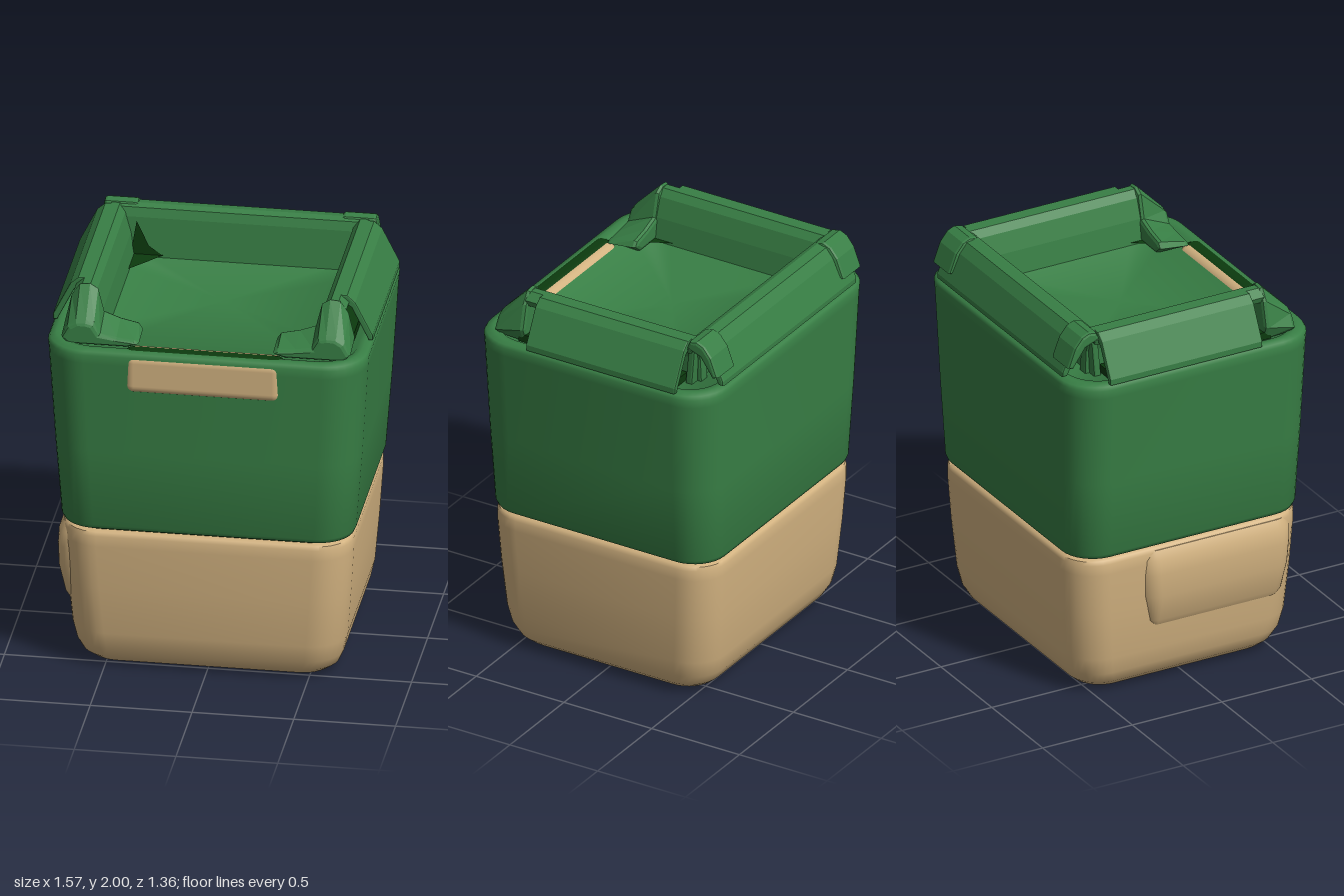
import * as THREE from 'three';
import { toCreasedNormals } from 'three/addons/utils/BufferGeometryUtils.js';
import { RoundedBoxGeometry } from 'three/addons/geometries/RoundedBoxGeometry.js';

const green = new THREE.MeshStandardMaterial({ color: 0x387f45 });
green.name = 'green';
const tan = new THREE.MeshStandardMaterial({ color: 0xd2b280 });
tan.name = 'tan';
const dark = new THREE.MeshStandardMaterial({ color: 0x0c3a0e, side: THREE.DoubleSide });
dark.name = 'dark green';

// Stacked rounded rectangles; each ring is [y, halfX, halfZ, cornerRadius], capped at both ends
function loft(rings, topCentre, cx = 0, cz = 0) {
  const seg = 8, n = 4 * (seg + 1), pos = [], idx = [];
  for (const [y, hx, hz, r] of rings) {
    for (let q = 0; q < 4; q++) {
      const sx = [1, -1, -1, 1][q], sz = [1, 1, -1, -1][q];
      for (let k = 0; k <= seg; k++) {
        const a = (q + k / seg) * Math.PI / 2;
        pos.push(cx + sx * (hx - r) + r * Math.cos(a), y, cz - sz * (hz - r) - r * Math.sin(a));
      }
    }
  }
  const last = rings.length - 1, bottom = rings.length * n, top = bottom + 1;
  pos.push(cx, rings[0][0], cz, cx, topCentre ?? rings[last][0], cz);
  for (let j = 0; j < n; j++) {
    const k = (j + 1) % n;
    for (let i = 0; i < last; i++) {
      const a = i * n + j, b = i * n + k;
      idx.push(a, b, b + n, a, b + n, a + n);
    }
    idx.push(k, j, bottom, last * n + j, last * n + k, top);
  }
  const g = new THREE.BufferGeometry();
  g.setAttribute('position', new THREE.Float32BufferAttribute(pos, 3));
  g.setIndex(idx);
  return toCreasedNormals(g, 0.9);
}

// Softly bevelled bar with an x-y section, running from z0 to z1
function bar(points, z0, z1, bevel = 0.01) {
  const shape = new THREE.Shape(points.map(([x, y]) => new THREE.Vector2(x, y)));
  const g = new THREE.ExtrudeGeometry(shape, {
    depth: z1 - z0 - 2 * bevel, bevelEnabled: true, bevelThickness: bevel,
    bevelSize: bevel, bevelOffset: -bevel, bevelSegments: 2,
  });
  return g.translate(0, 0, z0 + bevel);
}

export function createModel() {
  const model = new THREE.Group();
  const add = (name, geometry, material) => {
    const mesh = new THREE.Mesh(geometry, material);
    mesh.name = name;
    model.add(mesh);
    return mesh;
  };

  // Lower tub
  add('lowerTub', loft([
    [0, 0.54, 0.46, 0.12], [0.015, 0.59, 0.51, 0.14], [0.05, 0.63, 0.55, 0.16],
    [0.11, 0.655, 0.585, 0.17], [0.2, 0.675, 0.605, 0.18], [0.45, 0.695, 0.625, 0.18],
    [0.68, 0.71, 0.637, 0.18], [0.735, 0.71, 0.637, 0.18], [0.755, 0.702, 0.63, 0.17],
    [0.763, 0.685, 0.61, 0.16],
  ]), tan);
  // Shallow bulge on the tub's right side
  add('tubBulge', loft([
    [0.33, 0.06, 0.36, 0.05], [0.36, 0.075, 0.38, 0.06], [0.5, 0.107, 0.41, 0.09],
    [0.62, 0.11, 0.42, 0.09], [0.7, 0.105, 0.42, 0.09], [0.745, 0.08, 0.4, 0.07],
  ], undefined, -0.63, 0.14), tan);
  add('seam', loft([[0.75, 0.68, 0.605, 0.16], [0.79, 0.68, 0.605, 0.16]]), dark);

  // Upper body with rolled rim and slightly domed lid floor
  add('upperBody', loft([
    [0.77, 0.69, 0.61, 0.16], [0.778, 0.712, 0.632, 0.17], [0.8, 0.722, 0.642, 0.18],
    [1.2, 0.753, 0.658, 0.19], [1.68, 0.783, 0.674, 0.2], [1.725, 0.787, 0.676, 0.2],
    [1.742, 0.778, 0.668, 0.2], [1.75, 0.75, 0.64, 0.19], [1.745, 0.72, 0.61, 0.17],
    [1.725, 0.7, 0.59, 0.15],
  ], 1.74), green);

  // Front latch
  add('latchGap', new RoundedBoxGeometry(0.8, 0.23, 0.12, 3, 0.05).translate(0, 1.637, 0.614), dark);
  add('latch', new RoundedBoxGeometry(0.78, 0.22, 0.145, 4, 0.05).translate(0, 1.637, 0.608), tan);

  for (const s of [1, -1]) {
    const side = s > 0 ? 'left' : 'right';
    const mirror = (pts) => pts.map(([x, y]) => [s * x, y]);

    // Side wall rolled over at the top
    add(side + 'Wall', bar(mirror([
      [0.51, 1.72], [0.53, 1.85], [0.56, 1.95], [0.59, 1.985], [0.63, 1.985],
      [0.67, 1.95], [0.66, 1.92], [0.61, 1.93], [0.58, 1.85], [0.57, 1.72],
    ]), -0.52, 0.43), green);

    // Thin flap hanging outwards
    add(side + 'Flap', bar(mirror([
      [0.62, 1.985], [0.66, 1.985], [0.7, 1.95], [0.785, 1.78], [0.785, 1.75],
      [0.765, 1.75], [0.68, 1.92], [0.63, 1.95],
    ]), -0.5, 0.35, 0.007), green);

    // Front clip, tapering down towards the front
    const clip = bar(mirror([
      [0.55, 1.97], [0.59, 1.995], [0.64, 1.99], [0.68, 1.93], [0.71, 1.8], [0.68, 1.73],
      [0.38, 1.73], [0.33, 1.77], [0.35, 1.8], [0.44, 1.82], [0.52, 1.85],
    ]), 0.41, 0.58, 0.02);
    const p = clip.attributes.position;
    for (let i = 0; i < p.count; i++) {
      const t = Math.max(0, (p.getZ(i) - 0.43) / 0.15);
      p.setY(i, 1.74 + (p.getY(i) - 1.74) * (1 - 0.6 * t));
    }
    clip.computeVertexNormals();
    add(side + 'Clip', clip, green);

    // Shadow gap below the wall, level with the rim
    add(side + 'WallGap', new THREE.BoxGeometry(0.1, 0.04, 0.9).translate(s * 0.64, 1.75, 0), dark);
  }

  // Back wall and hanging flap as one hooked section
  const hook = [
    [0.455, 1.72], [0.475, 1.93], [0.49, 1.975], [0.52, 1.988], [0.57, 1.98], [0.61, 1.93],
    [0.672, 1.79], [0.672, 1.765], [0.645, 1.765], [0.57, 1.92], [0.525, 1.94], [0.51, 1.9], [0.495, 1.72],
  ];
  add('backWall', bar(hook, -0.62, 0.62).rotateY(Math.PI / 2), green);

  // Raised covers on the back corners
  for (const s of [1, -1]) {
    const cover = [
      [0.49, 1.95], [0.51, 1.99], [0.55, 1.998], [0.59, 1.98], [0.63, 1.93],
      [0.668, 1.83], [0.64, 1.82], [0.57, 1.92],
    ];
    add('cornerCover', bar(cover, s * 0.585 - 0.085, s * 0.585 + 0.085, 0.015).rotateY(Math.PI / 2), green);
  }

  // Dark openings in the corners of the lid floor
  const corners = [
    [[-0.53, -0.47], [-0.36, -0.47], [-0.43, -0.38], [-0.53, -0.26]],
    [[-0.53, 0.28], [-0.47, 0.4], [-0.36, 0.52], [-0.53, 0.52]],
    [[0.53, 0.33], [0.53, 0.5], [0.36, 0.5], [0.47, 0.41]],
  ];
  for (const c of corners) {
    const shape = new THREE.Shape(c.map(([x, z]) => new THREE.Vector2(x, -z)));
    add('cornerOpening', new THREE.ShapeGeometry(shape).rotateX(-Math.PI / 2).translate(0, 1.742, 0), dark);
  }
  const tear = new THREE.Shape([[-0.53, 1.74], [-0.37, 1.74], [-0.44, 1.79], [-0.5, 1.92]]
    .map(([x, y]) => new THREE.Vector2(x, y)));
  add('backCornerOpening', new THREE.ShapeGeometry(tear).translate(0, 0, -0.452), dark);

  return model;
}
